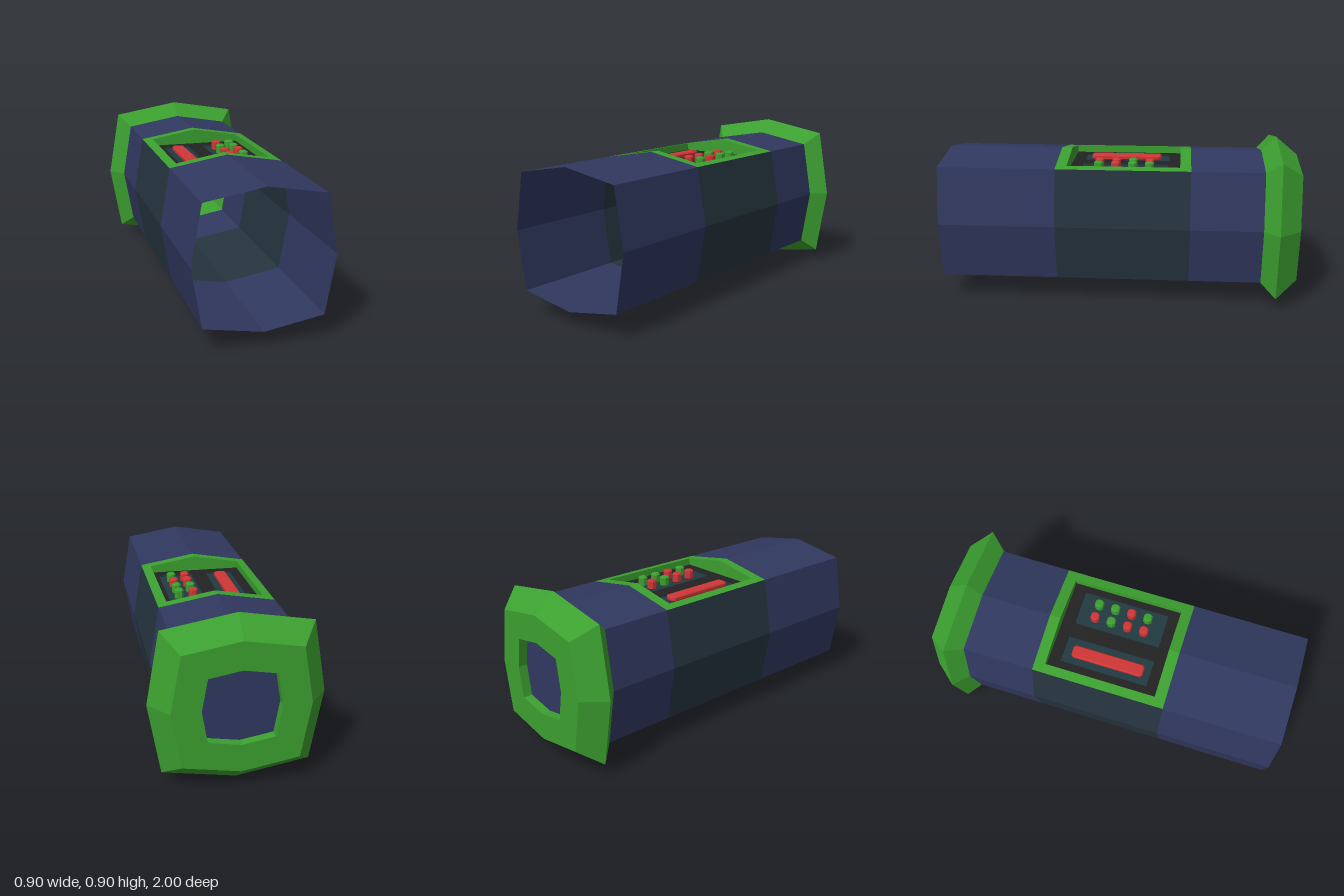
import * as THREE from 'three';

const CY = 0.45, R = 0.37, K = 0.853;           // axis height, tube radius, corner ratio
const FLOOR = 0.734, TRAY = 0.724;

const mat = (name, color) => {
  const m = new THREE.MeshStandardMaterial({ color, flatShading: true, side: THREE.DoubleSide });
  m.name = name;
  return m;
};

// point i of the eight-sided section: even points on the axes, odd points at the corners
function ringPoint(i, r, z) {
  i = i % 8;
  const sx = [1, K, 0, -K, -1, -K, 0, K][i], sy = [0, K, 1, K, 0, -K, -1, -K][i];
  return [sx * r, CY + sy * r, z];
}

// separate flat quads, corners counter-clockwise from outside
function quads(list) {
  const pos = [];
  for (const [a, b, c, d] of list) pos.push(...a, ...b, ...c, ...a, ...c, ...d);
  const g = new THREE.BufferGeometry();
  g.setAttribute('position', new THREE.Float32BufferAttribute(pos, 3));
  g.computeVertexNormals();
  return g;
}

// skin through rings [radius, z] running from front to back, for the chosen sides
function loft(rings, sides = [0, 1, 2, 3, 4, 5, 6, 7]) {
  const list = [];
  for (let k = 0; k < rings.length - 1; k++) {
    const [r0, z0] = rings[k], [r1, z1] = rings[k + 1];
    for (const i of sides) {
      list.push([ringPoint(i, r0, z0), ringPoint(i + 1, r0, z0), ringPoint(i + 1, r1, z1), ringPoint(i, r1, z1)]);
    }
  }
  return quads(list);
}

// inward-facing walls of a rectangular well, with the upper edge given by top(x)
function wellWalls(x0, x1, z0, z1, y, top) {
  const list = [];
  const wall = (xa, za, xb, zb) => list.push([[xa, y, za], [xb, y, zb], [xb, top(xb), zb], [xa, top(xa), za]]);
  const xm = (x0 + x1) / 2;
  wall(x0, z0, xm, z0); wall(xm, z0, x1, z0);
  wall(x1, z0, x1, z1);
  wall(x1, z1, xm, z1); wall(xm, z1, x0, z1);
  wall(x0, z1, x0, z0);
  return quads(list);
}

// horizontal plate with rectangular holes; rectangles are [x0, x1, z0, z1]
function plate(rect, y, holes = []) {
  const pts = ([x0, x1, z0, z1]) => [[x0, -z1], [x1, -z1], [x1, -z0], [x0, -z0]].map(p => new THREE.Vector2(...p));
  const s = new THREE.Shape(pts(rect));
  for (const h of holes) s.holes.push(new THREE.Path(pts(h)));
  return new THREE.ShapeGeometry(s).rotateX(-Math.PI / 2).translate(0, y, 0);
}

// bevelled block with clipped corners, standing on y
function keyCap(w, d, h, y) {
  const b = 0.007, c = 0.008, x = w / 2 - b, z = d / 2 - b;
  const s = new THREE.Shape([[x - c, -z], [x, c - z], [x, z - c], [x - c, z], [c - x, z], [-x, z - c], [-x, c - z], [c - x, -z]]
    .map(p => new THREE.Vector2(...p)));
  return new THREE.ExtrudeGeometry(s, { depth: h - 2 * b, bevelEnabled: true, bevelSegments: 1, bevelSize: b, bevelThickness: b })
    .rotateX(-Math.PI / 2).translate(0, y + b, 0);
}

export function createModel() {
  const model = new THREE.Group();
  const navy = mat('navy', 0x30385f), green = mat('green', 0x3ca030), slate = mat('slate', 0x26343f);
  const black = mat('black', 0x232223), teal = mat('dark teal', 0x223a42), red = mat('red', 0xd03636);
  const add = (name, geometry, material, x = 0, z = 0) => {
    const m = new THREE.Mesh(geometry, material);
    m.name = name;
    m.position.set(x, 0, z);
    model.add(m);
  };

  // open tube: front section, dark grip band and rear section
  const zf = 0.345, zb = -0.4;
  add('frontTube', loft([[R, 1], [R, zf]]), navy);
  add('gripBand', loft([[R, zf], [R, zb]], [0, 3, 4, 5, 6, 7]), slate);
  add('rearTube', loft([[R, zb], [R, -0.8]]), navy);

  // flared end cap with a recessed window
  add('endCap', loft([[R, -0.8], [0.45, -0.88], [0.35, -1], [0.2, -1], [0.2, -0.95]]), green);
  add('endWindow', loft([[0.2, -0.95], [0.0001, -0.95]]), navy);

  // control frame following the two sloping top faces
  const xo = R * K, xi = 0.265, wz0 = -0.34, wz1 = 0.285;
  const roof = x => CY + R - Math.abs(x) * (1 - K) / K;
  const patch = (x0, x1, z0, z1) => [[x0, roof(x0), z1], [x1, roof(x1), z1], [x1, roof(x1), z0], [x0, roof(x0), z0]];
  add('controlFrame', quads([
    patch(-xo, 0, wz1, zf), patch(0, xo, wz1, zf),
    patch(-xo, 0, zb, wz0), patch(0, xo, zb, wz0),
    patch(-xo, -xi, wz0, wz1), patch(xi, xo, wz0, wz1),
  ]), green);
  add('controlWell', wellWalls(-xi, xi, wz0, wz1, FLOOR, roof), green);

  // well floor with two sunken trays
  const trays = [[-0.21, -0.058, -0.275, 0.222], [0.028, 0.226, -0.27, 0.222]];
  add('wellFloor', plate([-xi, xi, wz0, wz1], FLOOR, trays), black);
  for (const t of trays) {
    add('trayWalls', wellWalls(...t, TRAY, () => FLOOR), teal);
    add('trayFloor', plate(t, TRAY), teal);
  }

  // light bar and two columns of buttons
  add('lightBar', keyCap(0.07, 0.41, 0.03, TRAY), red, -0.135, -0.022);
  const rows = [[red, green], [green, green], [red, red], [red, green]];
  rows.forEach((row, r) => row.forEach((colour, c) => {
    add('button', keyCap(0.048, 0.048, 0.057, TRAY), colour, 0.088 + c * 0.08, -0.168 + r * 0.095);
  }));
  return model;
}
